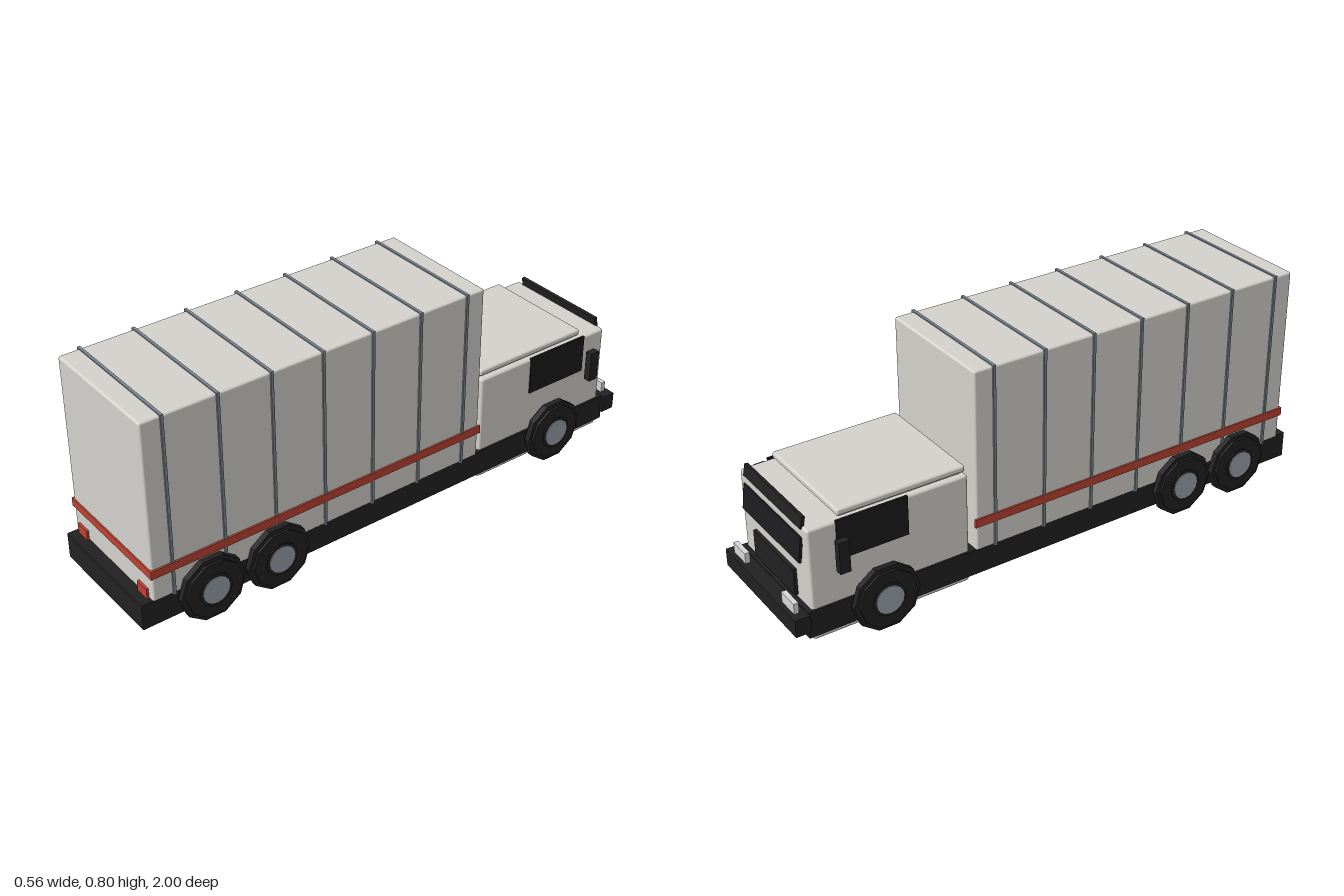
import * as THREE from 'three';
import { RoundedBoxGeometry } from 'three/addons/geometries/RoundedBoxGeometry.js';

const mat = (name, color, flatShading = false) => {
  const m = new THREE.MeshStandardMaterial({ color, flatShading });
  m.name = name;
  return m;
};

export function createModel() {
  const truck = new THREE.Group();
  truck.name = 'boxTruck';

  const white = mat('bodyWhite', 0xd6d4cf);
  const black = mat('chassisBlack', 0x222222);
  const tyreBlack = mat('tyreBlack', 0x222222, true);
  const glass = mat('darkGlass', 0x1c1c1e);
  const red = mat('signalRed', 0xbe4433);
  const steel = mat('ribSteel', 0x7c8892);
  const hubGrey = mat('hubGrey', 0x9aa4ae);
  const lampWhite = mat('lampWhite', 0xdadada);

  const add = (name, geometry, material, parent = truck) => {
    const mesh = new THREE.Mesh(geometry, material);
    mesh.name = name;
    parent.add(mesh);
    return mesh;
  };
  // Box given by its [min, max] extents; a radius rounds its edges
  const box = (name, material, [x0, x1], [y0, y1], [z0, z1], radius = 0) => {
    const size = [x1 - x0, y1 - y0, z1 - z0];
    const geometry = radius ? new RoundedBoxGeometry(...size, 2, radius) : new THREE.BoxGeometry(...size);
    const mesh = add(name, geometry, material);
    mesh.position.set((x0 + x1) / 2, (y0 + y1) / 2, (z0 + z1) / 2);
    return mesh;
  };
  // Extent [a, b] mirrored to the chosen side
  const onSide = (s, a, b) => (s > 0 ? [a, b] : [-b, -a]);

  // Chassis and front bumper
  box('chassis', black, [-0.229, 0.229], [0.05, 0.145], [-0.95, 1]);
  box('frontBumper', black, [-0.239, 0.239], [0.08, 0.142], [-1, -0.945]);

  // Cargo body with its ribs
  box('cargoBody', white, [-0.235, 0.235], [0.142, 0.795], [-0.34, 0.96], 0.008);
  for (let i = 0; i < 7; i++) {
    const z = 0.885 - i * 0.192;
    box('cargoRib', steel, [-0.24, 0.24], [0.14, 0.799], [z - 0.005, z + 0.005]);
  }

  // Red band along the sides and rear
  for (const s of [1, -1]) {
    box('sideStripe', red, onSide(s, 0.233, 0.241), [0.235, 0.265], [-0.345, 0.964]);
    box('rearLamp', red, onSide(s, 0.155, 0.21), [0.145, 0.182], [0.955, 0.968]);
  }
  box('rearStripe', red, [-0.24, 0.24], [0.235, 0.265], [0.957, 0.965]);

  // Cab and raised roof panel
  box('cab', white, [-0.222, 0.222], [0.03, 0.432], [-0.932, -0.36], 0.01);
  box('roofPanel', white, [-0.212, 0.212], [0.438, 0.462], [-0.822, -0.363], 0.008);
  box('roofSeat', white, [-0.2, 0.2], [0.428, 0.442], [-0.81, -0.375]);

  // Cab front: leaning windscreen, visor and grille
  const windscreen = box('windscreen', glass, [-0.19, 0.19], [0.305, 0.395], [-0.943, -0.934]);
  windscreen.rotation.x = 0.12;
  const visor = box('sunVisor', black, [-0.19, 0.19], [0.422, 0.464], [-0.932, -0.92]);
  visor.rotation.x = 0.2;
  box('grille', black, [-0.135, 0.135], [0.155, 0.25], [-0.944, -0.93]);

  for (const s of [1, -1]) {
    box('sideWindow', glass, onSide(s, 0.219, 0.227), [0.295, 0.436], [-0.834, -0.583]);
    box('mirror', black, onSide(s, 0.255, 0.281), [0.28, 0.392], [-0.857, -0.82]);
    box('headlamp', lampWhite, onSide(s, 0.125, 0.206), [0.14, 0.18], [-0.985, -0.968]);
  }

  // Wheels: ten-sided tyre with a raised tread band and a round hub
  const disc = (radius, x0, x1, sides) =>
    new THREE.CylinderGeometry(radius, radius, x1 - x0, sides).rotateZ(-Math.PI / 2).translate((x0 + x1) / 2, 0, 0);
  const tyre = disc(0.104, 0.2, 0.265, 10);
  const tread = disc(0.119, 0.235, 0.256, 10);
  const rim = disc(0.06, 0.255, 0.269, 16);
  const hub = disc(0.05, 0.255, 0.272, 16);
  for (const z of [0.755, 0.505, -0.685]) {
    for (const s of [1, -1]) {
      const wheel = new THREE.Group();
      wheel.name = 'wheel';
      add('tyre', tyre, tyreBlack, wheel);
      add('tread', tread, tyreBlack, wheel);
      add('rim', rim, tyreBlack, wheel);
      add('hub', hub, hubGrey, wheel);
      wheel.position.set(0, 0.1135, z);
      if (s < 0) wheel.rotation.y = Math.PI;
      truck.add(wheel);
    }
  }

  return truck;
}
